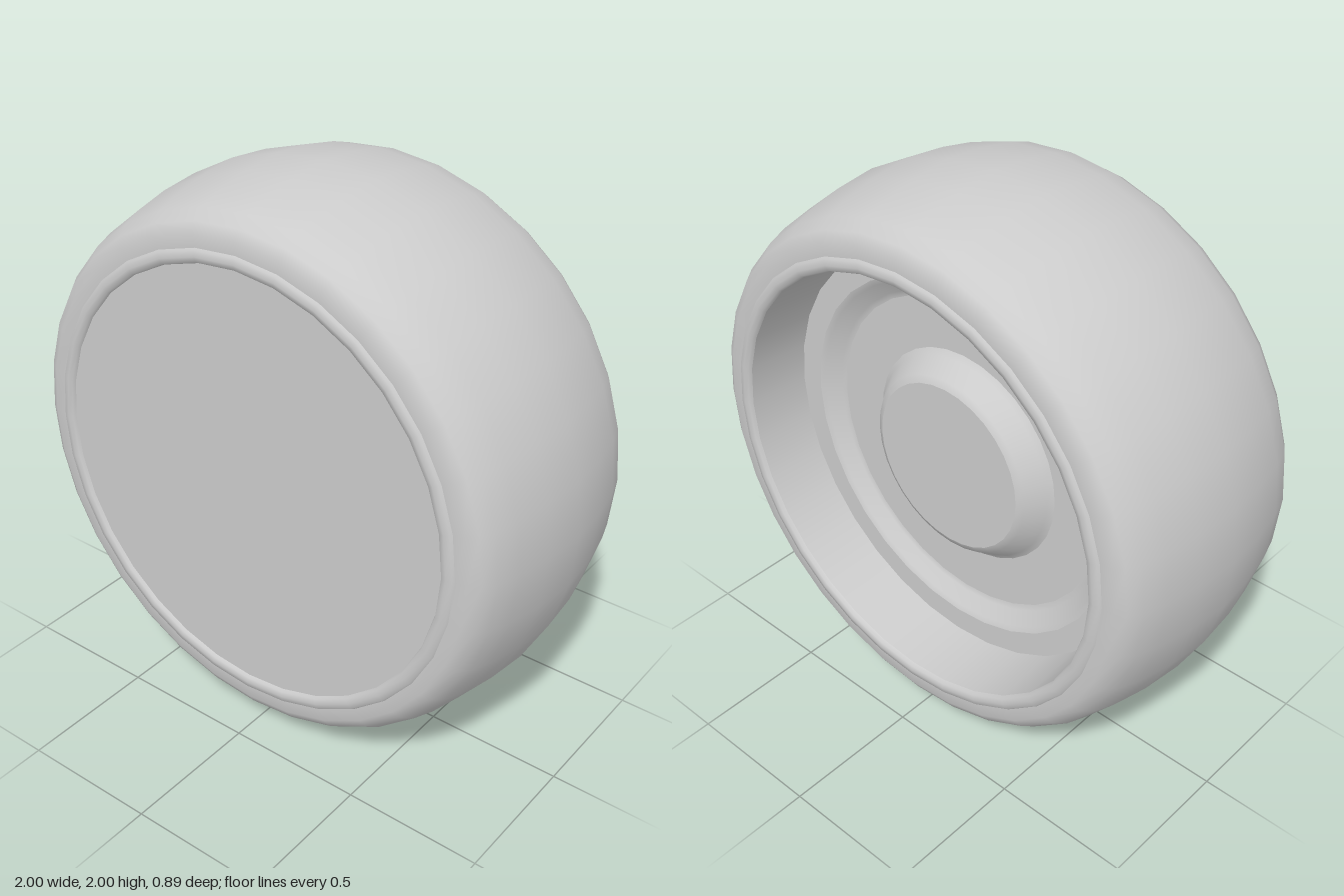
import * as THREE from 'three';

const SEGMENTS = 32;

export function createModel() {
  const wheel = new THREE.Group();
  wheel.name = 'wheel';
  wheel.position.y = 1;
  const material = new THREE.MeshStandardMaterial({ color: 0xcccccc });

  // Revolves [radius, z] points about the z axle; run them from back to front.
  function ring(name, points, parent = wheel) {
    const profile = points.map(([r, z]) => new THREE.Vector2(r, z));
    const geometry = new THREE.LatheGeometry(profile, SEGMENTS);
    geometry.rotateX(Math.PI / 2);
    const mesh = new THREE.Mesh(geometry, material);
    mesh.name = name;
    parent.add(mesh);
    return mesh;
  }

  // Tyre: rounded shoulders and a gently crowned tread
  const shoulder = [[0.82, 0.435], [0.87, 0.436], [0.905, 0.415], [0.935, 0.37], [0.96, 0.29], [0.985, 0.16]];
  const backHalf = shoulder.map(([r, z]) => [r, -z]);
  ring('tyre', [...backHalf, [1, 0], ...[...shoulder].reverse()]);

  // Rounded rim lips on both sides
  const lip = [[0.83, 0.43], [0.82, 0.443], [0.8, 0.447], [0.782, 0.443], [0.775, 0.43]];
  ring('frontLip', lip);
  ring('backLip', lip.map(([r, z]) => [r, -z]).reverse());

  // Flat cover closing the front
  ring('frontCover', [[0.776, 0.432], [0, 0.432]]);

  // Open back: barrel wall, ledge, sunken dish and raised hub
  const back = new THREE.Group();
  back.name = 'backRecess';
  wheel.add(back);
  ring('barrel', [[0.76, -0.2], [0.775, -0.43]], back);
  ring('ledge', [[0.67, -0.2], [0.76, -0.2]], back);
  ring('dishSlope', [[0.585, -0.15], [0.605, -0.155], [0.65, -0.192], [0.67, -0.2]], back);
  ring('dishFloor', [[0.4, -0.15], [0.585, -0.15]], back);
  ring('hubSlope', [[0.31, -0.24], [0.335, -0.228], [0.38, -0.165], [0.4, -0.15]], back);
  ring('hubFace', [[0, -0.24], [0.31, -0.24]], back);

  return wheel;
}
